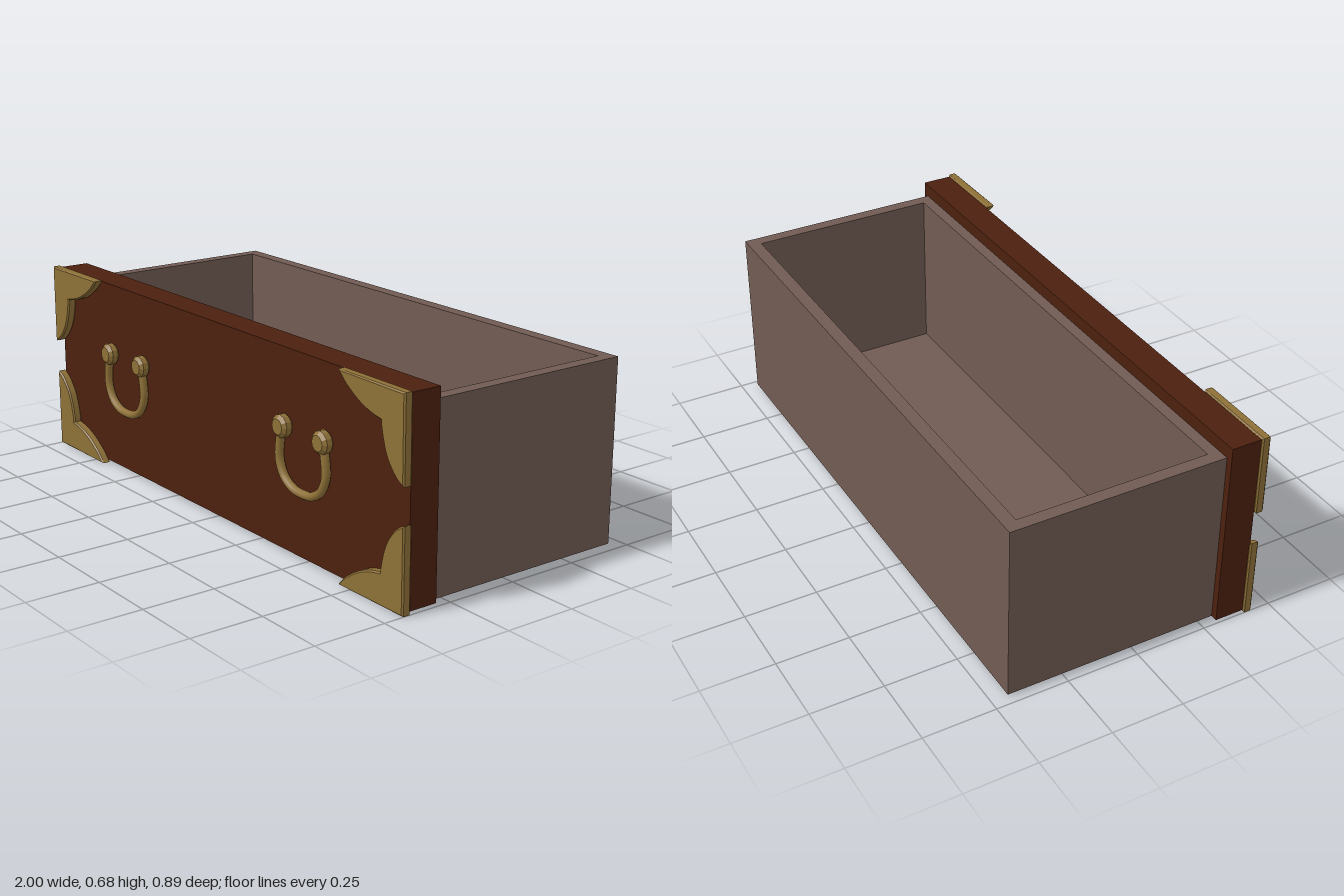
import * as THREE from 'three';

export function createModel() {
  const model = new THREE.Group();
  model.name = 'drawer';
  const material = (name, color, flatShading = false) => {
    const m = new THREE.MeshStandardMaterial({ color, flatShading });
    m.name = name;
    return m;
  };
  const greyWood = material('grey brown wood', 0x705b53);
  const redWood = material('dark red wood', 0x4c200e);
  const brass = material('brass', 0x8e7037);

  const add = (name, geometry, mat, parent = model) => {
    const mesh = new THREE.Mesh(geometry, mat);
    mesh.name = name;
    parent.add(mesh);
    return mesh;
  };

  // Open tray: one continuous rim of walls around a thin floor
  const rect = (Path, x, z0, z1) => {
    const p = new Path();
    p.moveTo(-x, -z0);
    p.lineTo(x, -z0);
    p.lineTo(x, -z1);
    p.lineTo(-x, -z1);
    p.closePath();
    return p;
  };
  const rim = rect(THREE.Shape, 0.97, 0.302, -0.445);
  rim.holes.push(rect(THREE.Path, 0.927, 0.26, -0.4));
  const walls = new THREE.ExtrudeGeometry(rim, { depth: 0.619, bevelEnabled: false });
  walls.rotateX(-Math.PI / 2).translate(0, 0.008, 0);
  add('trayWalls', walls, greyWood);
  add('trayFloor', new THREE.BoxGeometry(1.86, 0.04, 0.668), greyWood).position.set(0, 0.0285, -0.07);

  // Front panel
  add('frontPanel', new THREE.BoxGeometry(1.988, 0.664, 0.105), redWood).position.set(0, 0.34, 0.3525);

  // Scalloped corner plates; sx and sy choose the corner
  const cornerPlate = (sx, sy, y, z) => {
    const s = new THREE.Shape();
    const at = (u, v) => [sx * (1 - u), y - sy * v];
    s.moveTo(...at(0, 0));
    s.lineTo(...at(0.305, 0));
    s.quadraticCurveTo(...at(0.275, 0.035), ...at(0.255, 0.046));
    s.quadraticCurveTo(...at(0.19, 0.095), ...at(0.105, 0.106));
    s.lineTo(...at(0.105, 0.12));
    s.quadraticCurveTo(...at(0.092, 0.19), ...at(0.07, 0.222));
    s.quadraticCurveTo(...at(0.035, 0.272), ...at(0, 0.28));
    s.closePath();
    const bevel = 0.005;
    const g = new THREE.ExtrudeGeometry(s, {
      depth: 0.032 - 2 * bevel, curveSegments: 6,
      bevelThickness: bevel, bevelSize: bevel, bevelOffset: -bevel, bevelSegments: 1,
    });
    g.translate(0, 0, z + bevel);
    add('cornerPlate', g, brass);
  };
  for (const sx of [-1, 1]) {
    cornerPlate(sx, 1, 0.677, 0.405);
    cornerPlate(sx, -1, 0, 0.402);
  }

  // Bail handles hung from two round knobs
  const knob = new THREE.LatheGeometry(
    [[0, 0], [0.028, 0], [0.038, 0.01], [0.038, 0.03], [0.026, 0.041], [0, 0.041]]
      .map(([r, h]) => new THREE.Vector2(r, h)).reverse(), 12);
  // Profile runs base to front so the faces point outward
  const knobGeometry = new THREE.LatheGeometry(
    knob.parameters.points.slice().reverse(), 12).rotateX(Math.PI / 2).toNonIndexed();
  knobGeometry.computeVertexNormals();
  knob.dispose();

  const bailCurve = new THREE.CatmullRomCurve3(
    [[-0.102, 0.425], [-0.115, 0.37], [-0.117, 0.31], [-0.09, 0.26], [-0.045, 0.235], [0, 0.23],
      [0.045, 0.235], [0.09, 0.26], [0.117, 0.31], [0.115, 0.37], [0.102, 0.425]]
      .map(([x, y]) => new THREE.Vector3(x, y, 0.422)));
  const bailGeometry = new THREE.TubeGeometry(bailCurve, 36, 0.0145, 10, false);

  [-0.531, 0.503].forEach((x) => {
    const handle = new THREE.Group();
    handle.name = 'handle';
    handle.position.x = x;
    model.add(handle);
    add('bail', bailGeometry, brass, handle);
    for (const side of [-1, 1]) {
      add('knob', knobGeometry, brass, handle).position.set(side * 0.102, 0.425, 0.403);
    }
  });

  return model;
}
